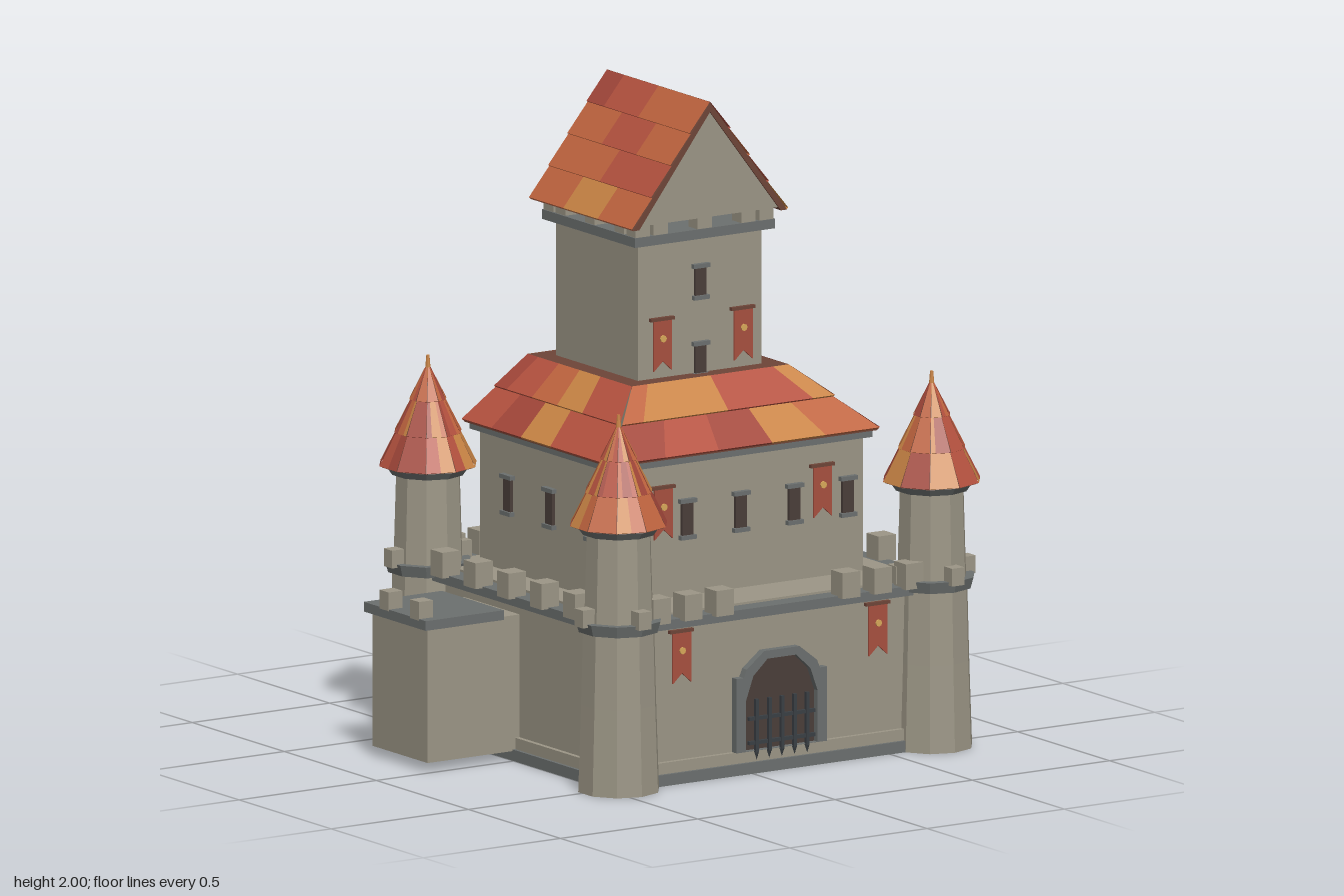
import * as THREE from 'three';
import { mergeGeometries } from 'three/addons/utils/BufferGeometryUtils.js';

const mat = (color) => new THREE.MeshStandardMaterial({ color, flatShading: true, side: THREE.DoubleSide });
const STONE = mat(0x9c9686), TRIM = mat(0x6c706f), DARK = mat(0x4a3e3a), IRON = mat(0x3a3f44);
const CLOTH = mat(0xa85040), GOLD = mat(0xd9a95a), WOOD = mat(0x6e4538);
const TILES = [0xb5523f, 0xa3473a, 0xc0653f, 0xc98445].map(mat);
const V = (x, y, z) => new THREE.Vector3(x, y, z);

function add(parent, name, geometry, material, x = 0, y = 0, z = 0) {
  const m = new THREE.Mesh(geometry, material);
  m.name = name;
  m.position.set(x, y, z);
  parent.add(m);
  return m;
}

// Box standing on y0, reaching y1
const block = (parent, name, material, w, y0, y1, d, x = 0, z = 0) =>
  add(parent, name, new THREE.BoxGeometry(w, y1 - y0, d), material, x, (y0 + y1) / 2, z);

// Small seeded generator for tile colours
let seed = 7;
const rand = () => (seed = (seed * 16807) % 2147483647) / 2147483647;

// Rows of overlapping tiles on faces given as [bottomLeft, bottomRight, topRight, topLeft]
function tiledRoof(parent, name, faces, rows, cols, lift = 0.008) {
  const bins = TILES.map(() => []);
  for (const [a, b, c, d] of faces) {
    const n = b.clone().sub(a).cross(d.clone().sub(a)).normalize();
    const at = (u, v, h) => a.clone().lerp(b, u).lerp(d.clone().lerp(c, u), v).addScaledVector(n, h);
    for (let r = 0; r < rows; r++) {
      const shift = cols > 1 && r % 2 ? 0.5 : 0;
      for (let k = 0; k < cols + (shift ? 1 : 0); k++) {
        const u0 = Math.max(0, (k - shift) / cols), u1 = Math.min(1, (k + 1 - shift) / cols);
        const v0 = r / rows, v1 = (r + 1) / rows;
        const p = at(u0, v0, lift), q = at(u1, v0, lift), s = at(u1, v1, 0.001), t = at(u0, v1, 0.001);
        const e = at(u0, v0, 0), f = at(u1, v0, 0);
        const g = new THREE.BufferGeometry().setFromPoints([p, q, s, p, s, t, e, f, q, e, q, p]);
        g.computeVertexNormals();
        bins[Math.floor(rand() * TILES.length)].push(g);
      }
    }
  }
  const roof = new THREE.Group();
  roof.name = name;
  bins.forEach((list, i) => list.length && add(roof, 'roofTiles', mergeGeometries(list), TILES[i]));
  parent.add(roof);
}

// Narrow window with lintel and sill, facing local +z
function slitWindow(parent, x, y, z, turn = 0, h = 0.1) {
  const g = new THREE.Group();
  g.name = 'slitWindow';
  block(g, 'windowOpening', DARK, 0.04, 0, h, 0.016);
  block(g, 'windowLintel', TRIM, 0.06, h, h + 0.013, 0.03);
  block(g, 'windowSill', TRIM, 0.056, -0.013, 0, 0.03);
  g.position.set(x, y, z);
  g.rotation.y = turn;
  parent.add(g);
}

// Swallow-tailed banner hanging from a rod; y is its top
function banner(parent, x, y, z) {
  const g = new THREE.Group();
  g.name = 'banner';
  const s = new THREE.Shape([[-0.033, 0], [-0.033, -0.16], [0, -0.13], [0.033, -0.16], [0.033, 0]]
    .map(([px, py]) => new THREE.Vector2(px, py)));
  add(g, 'bannerCloth', new THREE.ExtrudeGeometry(s, { depth: 0.006, bevelEnabled: false }), CLOTH);
  add(g, 'bannerRod', new THREE.BoxGeometry(0.086, 0.01, 0.014), WOOD);
  add(g, 'bannerStud', new THREE.CylinderGeometry(0.011, 0.011, 0.006, 8), GOLD, 0, -0.06, 0.008).rotation.x = Math.PI / 2;
  g.position.set(x, y, z);
  parent.add(g);
}

// Corner turret: tapered ten-sided shaft, two rings, tiled cone
function turret(parent, x, z) {
  const g = new THREE.Group();
  g.name = 'cornerTurret';
  const ring = (name, material, top, bottom, y0, y1) =>
    add(g, name, new THREE.CylinderGeometry(top, bottom, y1 - y0, 10), material, 0, (y0 + y1) / 2, 0);
  ring('turretBase', STONE, 0.118, 0.127, 0, 0.27);
  ring('turretShaft', STONE, 0.112, 0.118, 0.27, 0.5);
  ring('turretWalk', TRIM, 0.135, 0.125, 0.495, 0.53);
  ring('turretUpperShaft', STONE, 0.1, 0.108, 0.53, 0.8);
  ring('turretCornice', TRIM, 0.133, 0.112, 0.795, 0.825);
  for (let i = 0; i < 4; i++) {
    const a = i * Math.PI / 2;
    block(g, 'turretMerlon', STONE, 0.045, 0.52, 0.575, 0.045, Math.sin(a) * 0.123, Math.cos(a) * 0.123);
  }
  ring('coneUnderside', WOOD, 0.02, 0.145, 0.82, 1.08);
  const rim = (i, r, y) => V(r * Math.sin(i * Math.PI / 5), y, r * Math.cos(i * Math.PI / 5));
  const faces = [];
  for (let i = 0; i < 10; i++) {
    faces.push([rim(i, 0.148, 0.822), rim(i + 1, 0.148, 0.822), rim(i + 1, 0.006, 1.125), rim(i, 0.006, 1.125)]);
  }
  tiledRoof(g, 'turretRoof', faces, 3, 2, 0.005);
  ring('finial', TILES[3], 0.005, 0.011, 1.09, 1.16);
  g.position.set(x, 0, z);
  parent.add(g);
}

function archShape(half, spring, top, base) {
  return [[-half, base], [half, base], [half, spring], [half * 0.8, spring + (top - spring) * 0.6], [half * 0.4, top],
    [-half * 0.4, top], [-half * 0.8, spring + (top - spring) * 0.6], [-half, spring]].map(([x, y]) => new THREE.Vector2(x, y));
}

export function createModel() {
  const model = new THREE.Group();
  model.name = 'castle';
  const castle = new THREE.Group();
  castle.name = 'castleBody';
  castle.position.x = 0.105;
  model.add(castle);

  // Outer ward
  block(castle, 'plinth', TRIM, 1.21, 0, 0.035, 1.11);
  block(castle, 'plinthStep', STONE, 1.19, 0.035, 0.07, 1.09);
  block(castle, 'curtainWall', STONE, 1.16, 0.07, 0.49, 1.06);
  block(castle, 'wallCornice', TRIM, 1.24, 0.485, 0.515, 1.13);
  block(castle, 'wallWalk', STONE, 1.11, 0.49, 0.522, 1.01);
  for (const s of [-1, 1]) {
    for (const x of [-0.46, -0.345, -0.23, 0.23, 0.345, 0.46]) block(castle, 'merlon', STONE, 0.064, 0.51, 0.59, 0.064, x, s * 0.558);
    for (const z of [-0.36, -0.18, 0, 0.18, 0.36]) block(castle, 'merlon', STONE, 0.064, 0.51, 0.59, 0.064, s * 0.613, z);
    for (const t of [-1, 1]) turret(castle, s * 0.57, t * 0.518);
    banner(castle, s * 0.357, 0.47, 0.54);
    banner(castle, s * 0.29, 0.87, 0.34);
    banner(castle, s * 0.147, 1.335, 0.122);
  }

  // Gate with surround and portcullis
  const frame = new THREE.Shape(archShape(0.16, 0.25, 0.375, 0.07));
  frame.holes.push(new THREE.Path(archShape(0.13, 0.23, 0.35, 0.071)));
  add(castle, 'gateSurround', new THREE.ExtrudeGeometry(frame, { depth: 0.03, bevelEnabled: false }), TRIM, 0, 0, 0.525);
  add(castle, 'gateOpening', new THREE.ShapeGeometry(new THREE.Shape(archShape(0.13, 0.23, 0.35, 0.07))), DARK, 0, 0, 0.536);
  for (const s of [-1, 1]) block(castle, 'gateJamb', TRIM, 0.03, 0.07, 0.3, 0.03, s * 0.15, 0.54);
  for (let i = -2; i <= 2; i++) {
    block(castle, 'portcullisBar', IRON, 0.011, 0.065, 0.23, 0.011, i * 0.046, 0.555);
    add(castle, 'portcullisSpike', new THREE.ConeGeometry(0.009, 0.025, 4), IRON, i * 0.046, 0.055, 0.555).rotation.x = Math.PI;
  }
  for (const y of [0.09, 0.165]) block(castle, 'portcullisRail', IRON, 0.24, y, y + 0.011, 0.011, 0, 0.552);

  // Keep and hipped roof
  block(castle, 'keep', STONE, 0.9, 0.52, 0.94, 0.74, 0, -0.045);
  block(castle, 'keepCornice', TRIM, 0.945, 0.935, 0.96, 0.78, 0, -0.048);
  for (let i = -2; i <= 2; i++) slitWindow(castle, i * 0.195, 0.71, 0.327);
  for (const s of [-1, 1]) for (const z of [0.2, -0.027, -0.255]) slitWindow(castle, s * 0.452, 0.71, z, s * Math.PI / 2);
  const low = [V(-0.487, 0.96, 0.352), V(0.487, 0.96, 0.352), V(0.487, 0.96, -0.45), V(-0.487, 0.96, -0.45)];
  const high = [V(-0.285, 1.15, 0.165), V(0.285, 1.15, 0.165), V(0.285, 1.15, -0.4), V(-0.285, 1.15, -0.4)];
  tiledRoof(castle, 'keepRoof', low.map((p, i) => [p, low[(i + 1) % 4], high[(i + 1) % 4], high[i]]), 2, 5);
  block(castle, 'keepRoofTop', WOOD, 0.57, 1.14, 1.15, 0.565, 0, -0.1175);
  block(castle, 'keepRoofUnderside', WOOD, 0.97, 0.956, 0.962, 0.8, 0, -0.049);

  // Great tower
  const tz = -0.115;
  block(castle, 'tower', STONE, 0.45, 0.96, 1.575, 0.445, 0, tz);
  block(castle, 'towerCornice', TRIM, 0.51, 1.57, 1.6, 0.505, 0, tz);
  for (const y of [1.15, 1.39]) {
    slitWindow(castle, 0, y, tz + 0.223, 0, 0.085);
    slitWindow(castle, 0, y, tz - 0.223, Math.PI, 0.085);
  }
  for (const s of [-1, 1]) for (const k of [-0.225, -0.16, 0, 0.16, 0.225]) {
    block(castle, 'towerMerlon', STONE, 0.052, 1.6, 1.645, 0.05, k, tz + s * 0.225);
    block(castle, 'towerMerlon', STONE, 0.05, 1.6, 1.645, 0.052, s * 0.225, tz + k);
  }

  // Gabled tower roof: stone prism, timber edge, tiles
  const extrude = (pts, depth) => new THREE.ExtrudeGeometry(
    new THREE.Shape(pts.map(([x, y]) => new THREE.Vector2(x, y))), { depth, bevelEnabled: false });
  add(castle, 'gable', extrude([[-0.262, 1.64], [0.262, 1.64], [0, 1.972]], 0.55), STONE, 0, 0, tz - 0.275);
  add(castle, 'roofEdge', extrude([[-0.28, 1.63], [-0.258, 1.63], [0, 1.966], [0.258, 1.63], [0.28, 1.63], [0, 1.994]], 0.56),
    WOOD, 0, 0, tz - 0.28);
  const f = tz + 0.28, b = tz - 0.28;
  tiledRoof(castle, 'towerRoof', [
    [V(0.28, 1.632, f), V(0.28, 1.632, b), V(0, 1.996, b), V(0, 1.996, f)],
    [V(-0.28, 1.632, b), V(-0.28, 1.632, f), V(0, 1.996, f), V(0, 1.996, b)],
  ], 4, 3, 0.006);

  // Side annexe
  block(model, 'annexe', STONE, 0.36, 0.03, 0.45, 0.3, -0.63, -0.155);
  block(model, 'annexeRoof', TRIM, 0.285, 0.445, 0.475, 0.336, -0.688, -0.153);
  for (const z of [-0.21, -0.045]) block(model, 'annexeMerlon', STONE, 0.05, 0.47, 0.528, 0.05, -0.806, z);
  return model;
}
